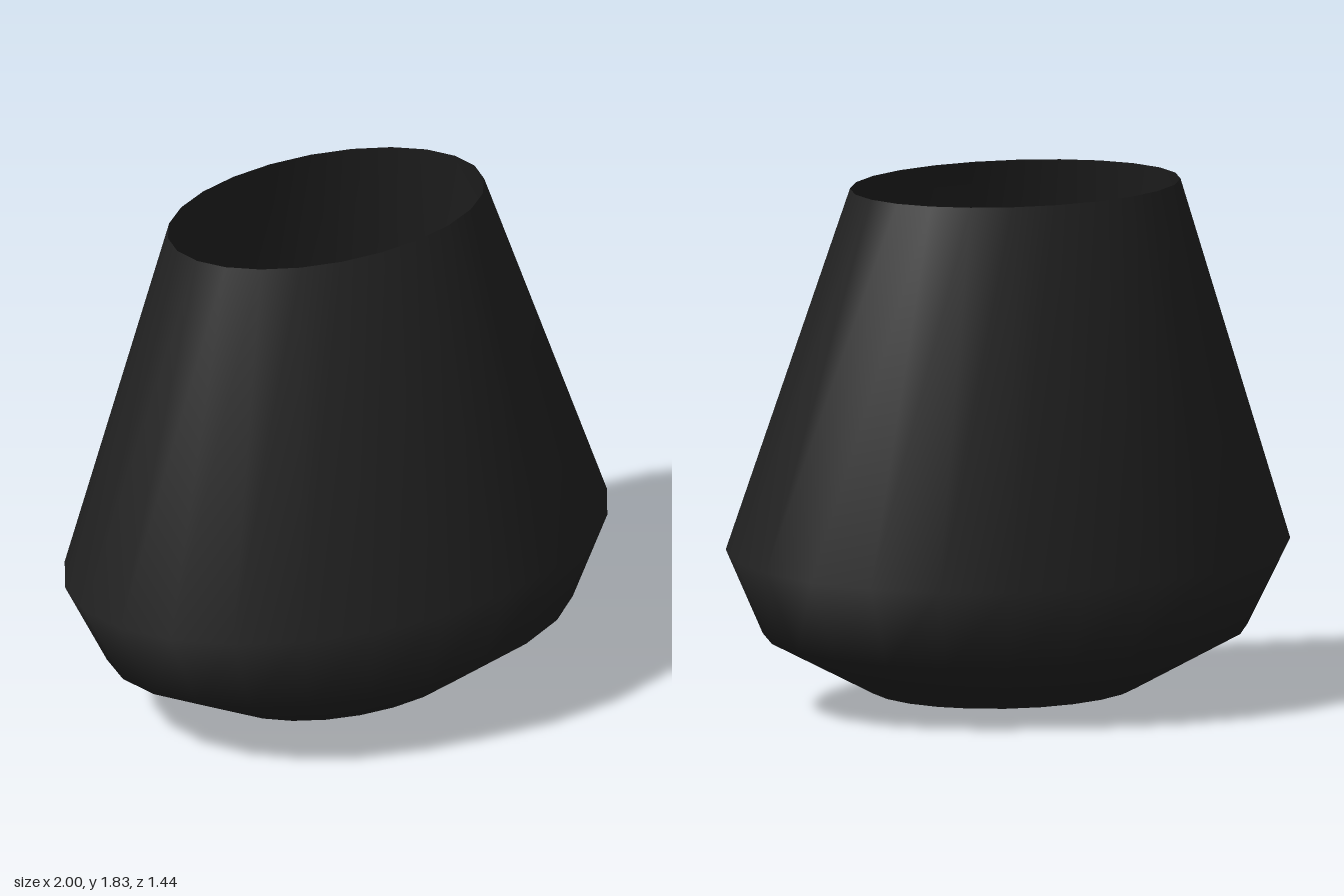
import * as THREE from 'three';

const SEGMENTS = 24;

// Elliptical cross-sections from the rounded base to the rim.
// tilt is the rise of the ring per unit of z.
const RINGS = [
  { y: 0.06, z: 0.04, rx: 0.48, rz: 0.35, tilt: 0.06 },
  { y: 0.26, z: 0.025, rx: 0.86, rz: 0.615, tilt: 0.06 },
  { y: 0.558, z: 0, rx: 1, rz: 0.722, tilt: 0.06 },
  { y: 1.822, z: -0.068, rx: 0.59, rz: 0.382, tilt: 0.034 },
];

function shellGeometry() {
  // Lowest point of the base, then one loop of vertices per ring
  const positions = [0, 0, 0.05];
  for (const { y, z, rx, rz, tilt } of RINGS) {
    for (let i = 0; i < SEGMENTS; i++) {
      const a = (i / SEGMENTS) * Math.PI * 2;
      const dz = rz * Math.cos(a);
      positions.push(rx * Math.sin(a), y + tilt * dz, z + dz);
    }
  }

  const index = [];
  const at = (ring, i) => 1 + ring * SEGMENTS + (i % SEGMENTS);
  for (let i = 0; i < SEGMENTS; i++) {
    // Base fan
    index.push(0, at(0, i + 1), at(0, i));
    // Wall bands
    for (let r = 0; r < RINGS.length - 1; r++) {
      const a = at(r, i), b = at(r, i + 1), c = at(r + 1, i + 1), d = at(r + 1, i);
      index.push(a, b, c, a, c, d);
    }
  }

  const geometry = new THREE.BufferGeometry();
  geometry.setAttribute('position', new THREE.Float32BufferAttribute(positions, 3));
  geometry.setIndex(index);
  geometry.computeVertexNormals();
  return geometry;
}

export function createModel() {
  const group = new THREE.Group();
  group.name = 'taperedCup';

  // Thin shell, open at the rim, seen from inside and outside
  const material = new THREE.MeshStandardMaterial({ color: 0x222222, side: THREE.DoubleSide });
  const shell = new THREE.Mesh(shellGeometry(), material);
  shell.name = 'openShell';
  group.add(shell);

  return group;
}
